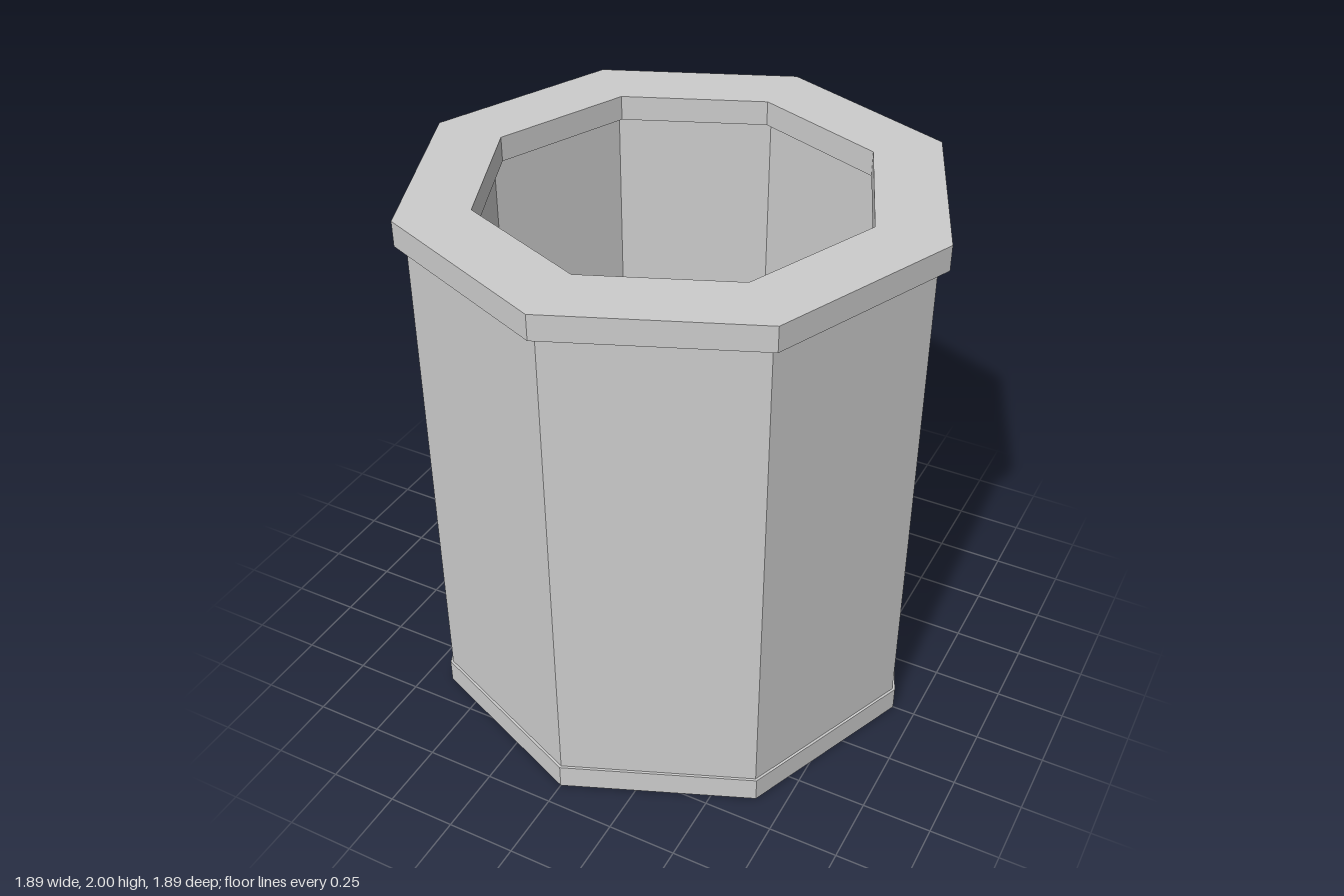
import * as THREE from 'three';

const SIDES = 8;

// Octagonal tube with a rectangular wall section, corners on the x and z axes
function octagonRing(name, outer, inner, bottom, top) {
  const profile = [
    [inner, bottom], [outer, bottom], [outer, top], [inner, top], [inner, bottom],
  ].map(([r, y]) => new THREE.Vector2(r, y));
  const geometry = new THREE.LatheGeometry(profile, SIDES).toNonIndexed();
  geometry.computeVertexNormals();
  const material = new THREE.MeshStandardMaterial({ color: 0xcccccc, flatShading: true });
  const mesh = new THREE.Mesh(geometry, material);
  mesh.name = name;
  return mesh;
}

export function createModel() {
  const group = new THREE.Group();
  group.name = 'octagonalTube';

  group.add(
    octagonRing('baseRing', 0.917, 0.716, 0, 0.092),
    octagonRing('wall', 0.907, 0.726, 0.092, 1.91),
    octagonRing('topRim', 0.945, 0.69, 1.91, 2),
  );
  return group;
}
